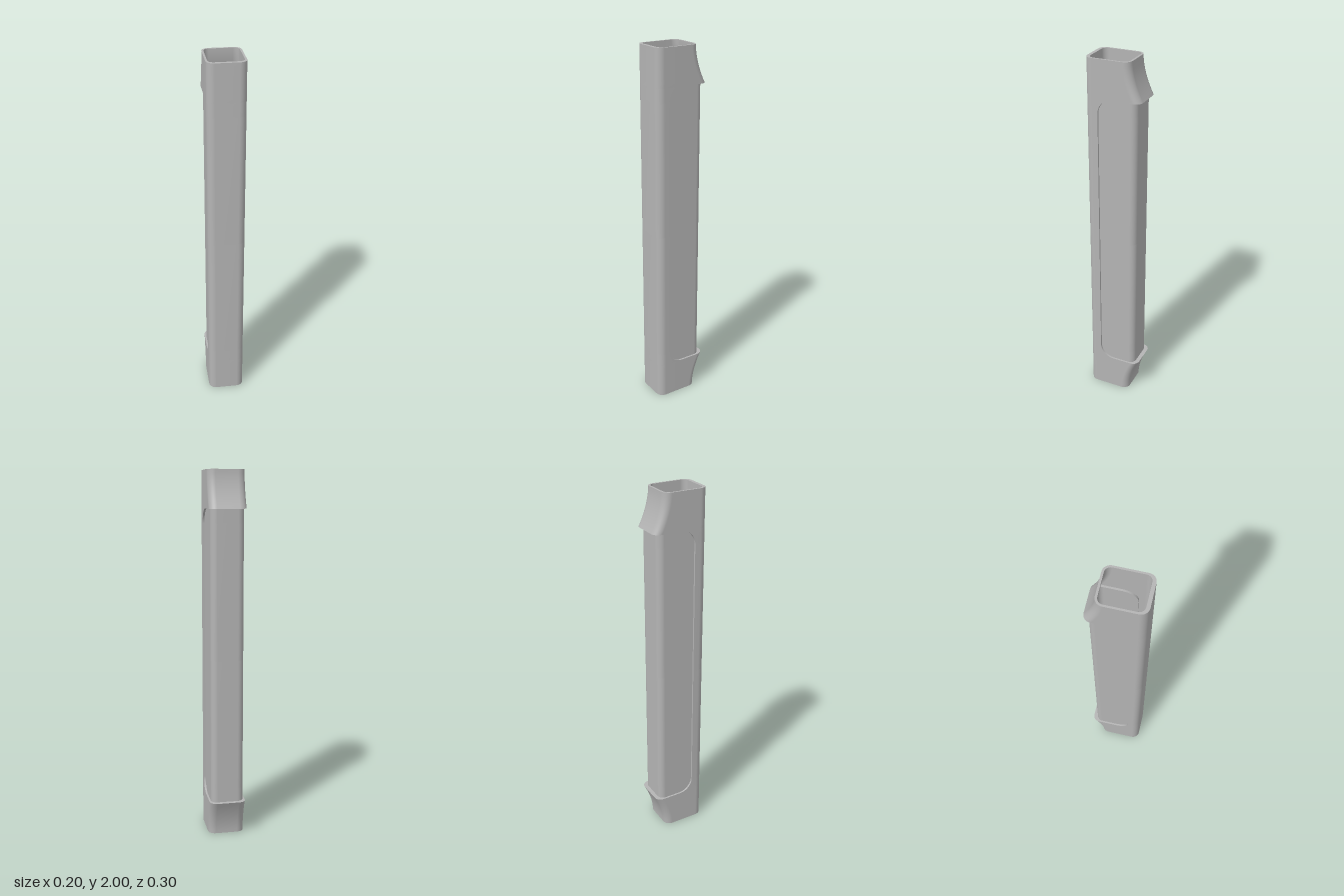
import * as THREE from 'three';

const STEP = 0.01;     // recess depth and wall thickness
const R = 0.08;        // rounding of the recess outline
const ARC = 8;

// Quarter-round corner about (cx, cz), starting at angle a (x = cos, z = sin)
function corner(cx, cz, r, a) {
  return Array.from({ length: ARC + 1 }, (_, i) => {
    const t = a + (i / ARC) * Math.PI / 2;
    return [cx + r * Math.cos(t), cz + r * Math.sin(t)];
  });
}

// Front half of a rounded section, from +x round the front to -x
const frontU = (w, z, r, zs) => [[w, zs],
  ...corner(w - r, z - r, r, 0), ...corner(r - w, z - r, r, Math.PI / 2), [-w, zs]];

// Rear half, from -x round the back to +x
const rearU = (w, z, r, zs) => [[-w, zs],
  ...corner(r - w, z + r, r, Math.PI), ...corner(w - r, z + r, r, Math.PI * 1.5), [w, zs]];

const atY = (pts, y) => pts.map(([x, z]) => [x, y, z]);

// Skin between successive rows of points; flip turns the surface inward
function loft(rows, flip) {
  const n = rows[0].length, index = [];
  for (let i = 0; i < rows.length - 1; i++) {
    for (let j = 0; j < n - 1; j++) {
      const a = i * n + j, b = a + 1, c = a + n, d = c + 1;
      if (flip) index.push(a, b, c, b, d, c);
      else index.push(a, c, b, b, c, d);
    }
  }
  const g = new THREE.BufferGeometry();
  g.setAttribute('position', new THREE.Float32BufferAttribute(rows.flat(2), 3));
  g.setIndex(index);
  g.computeVertexNormals();
  return g;
}

// All skins of one half of the tube, d = inset from the outer surface
function skin(d) {
  const w = 0.1 - d, zFront = 0.15 - 1.8 * d, r = 0.04 - d;
  const yE = 0.2 - d, zE = 0.08 - d / 2, zs = zE - R;
  const pw = w - STEP, pBack = -0.127 + d, pr = 0.035 - d;
  const back = (y) => -(0.092 + 0.058 * Math.pow(y / 0.2, 1.8)) + 1.1 * d;
  const loop = (y) => atY([...frontU(w, zFront, r, zs), ...rearU(w, back(y), r, zs)], y);

  // Recess outline as [y, z], from the sleeve edge up to mid height
  const outline = Array.from({ length: 13 }, (_, i) => {
    const t = (i / 12) * Math.PI / 2;
    return [yE + R * (1 - Math.cos(t)), zs + R * Math.sin(t)];
  });
  outline.push([1, zE]);

  // Path along the recess edge: down one side, round the back, up the other
  const edge = (ew, ez, er) => [
    ...outline.slice().reverse().map(([y, z]) => [-ew, y, z]),
    ...atY(rearU(ew, ez, er, zs), yE),
    ...outline.map(([y, z]) => [ew, y, z]),
  ];

  const flip = d > 0;
  return {
    endLoop: loop(0),
    sleeve: loft(Array.from({ length: 11 }, (_, i) => loop(yE * i / 10)), flip),
    frontChannel: loft(outline.map(([y, z]) => atY(frontU(w, zFront, r, z), y)), flip),
    recessedGrip: loft(outline.map(([y, z]) => atY(rearU(pw, pBack, pr, z), y)), flip),
    recessEdge: loft([edge(w, back(yE), r), edge(pw, pBack, pr)], flip),
  };
}

export function createModel() {
  const grey = new THREE.MeshStandardMaterial({ color: 0xb4b4b4 });
  grey.name = 'plain grey';

  const outer = skin(0), inner = skin(STEP);
  const parts = { endRim: loft([outer.endLoop, inner.endLoop], true) };
  for (const key of ['sleeve', 'frontChannel', 'recessedGrip', 'recessEdge']) {
    parts[key + 'Outside'] = outer[key];
    parts[key + 'Inside'] = inner[key];
  }

  const buildHalf = (name) => {
    const half = new THREE.Group();
    half.name = name;
    for (const [key, geometry] of Object.entries(parts)) {
      const mesh = new THREE.Mesh(geometry, grey);
      mesh.name = key;
      half.add(mesh);
    }
    return half;
  };

  // The upper half is the lower one turned upside down
  const lower = buildHalf('lowerHalf');
  const upper = buildHalf('upperHalf');
  upper.rotation.z = Math.PI;
  upper.position.y = 2;

  const model = new THREE.Group();
  model.name = 'recessedTube';
  model.add(lower, upper);
  return model;
}
